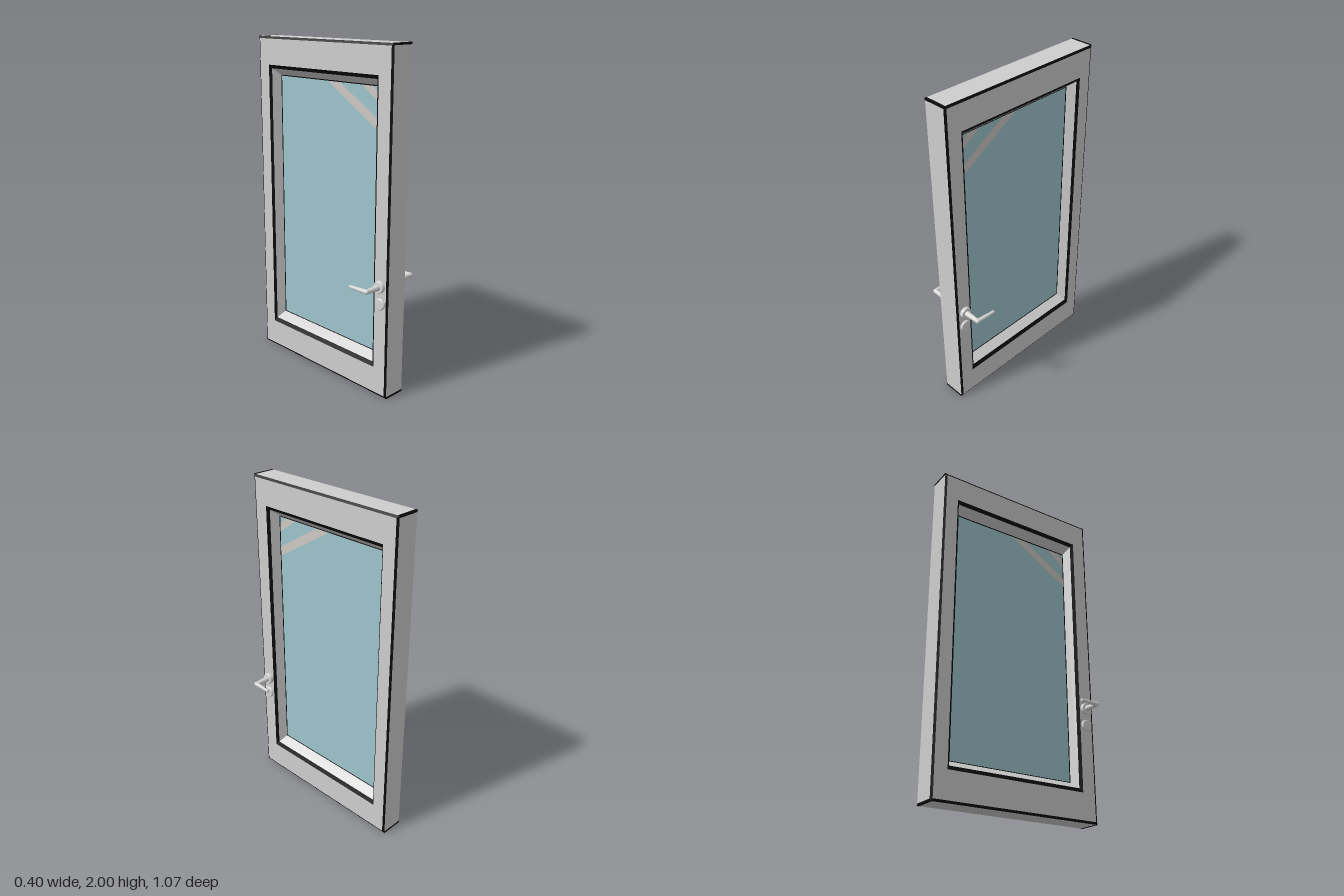
import * as THREE from 'three';

const mat = (name, color) => {
  const m = new THREE.MeshStandardMaterial({ color });
  m.name = name;
  return m;
};

export function createModel() {
  const root = new THREE.Group();
  root.name = 'glazedDoor';
  const frameMat = mat('frame grey', 0xcfcecf);
  const edgeMat = mat('black edging', 0x0b0b0b);
  const glassMat = mat('pale glass', 0x9fc5cd);
  const glintMat = mat('glass glint', 0xd0c9c6);
  const metalMat = mat('handle metal', 0xd6d5d4);

  const add = (parent, name, geometry, material) => {
    const mesh = new THREE.Mesh(geometry, material);
    mesh.name = name;
    parent.add(mesh);
    return mesh;
  };

  // Rectangular loop at depth x: corners run anticlockwise seen from +x
  const loop = (x, zMax, zMin, yMin, yMax) => [
    [x, yMin, zMax], [x, yMin, zMin], [x, yMax, zMin], [x, yMax, zMax],
  ];

  // Four flat quads joining two loops; flip reverses the facing
  const band = (a, b, flip) => {
    const p = [];
    for (let i = 0; i < 4; i++) {
      const j = (i + 1) % 4;
      const q = [a[i], a[j], b[j], b[i]];
      if (flip) q.reverse();
      for (const k of [0, 1, 2, 0, 2, 3]) p.push(...q[k]);
    }
    const g = new THREE.BufferGeometry();
    g.setAttribute('position', new THREE.Float32BufferAttribute(p, 3));
    g.computeVertexNormals();
    return g;
  };

  // Outer walls of the frame
  const W = 0.534, B = 0.001, T = 1.999;
  add(root, 'outerWalls', band(loop(-0.067, W, -W, B, T), loop(0.067, W, -W, B, T)), frameMat);

  // Black edging along the four short corners
  for (const z of [-1, 1]) {
    for (const y of [0.006, 1.994]) {
      const bar = add(root, 'cornerEdging', new THREE.BoxGeometry(0.136, 0.012, 0.012), edgeMat);
      bar.position.set(0, y, z * 0.529);
    }
  }

  for (const s of [1, -1]) {
    const side = new THREE.Group();
    side.name = s > 0 ? 'leftFace' : 'rightFace';
    root.add(side);

    // Stepped section from the outer wall inwards to the pane
    const section = [
      loop(s * 0.067, W, -W, B, T),
      loop(s * 0.074, 0.521, -0.521, 0.014, 1.986),
      loop(s * 0.074, 0.437, -0.444, 0.172, 1.834),
      loop(s * 0.062, 0.419, -0.430, 0.196, 1.813),
      loop(s * 0.012, 0.396, -0.405, 0.234, 1.774),
      loop(s * 0.010, 0.391, -0.400, 0.239, 1.768),
    ];
    const names = ['outerEdging', 'frameFace', 'openingEdging', 'reveal', 'glassSeal'];
    names.forEach((name, i) => add(side, name, band(section[i], section[i + 1], s < 0),
      i % 2 ? frameMat : edgeMat));

    // Pane
    const pane = add(side, 'glassPane', new THREE.PlaneGeometry(0.791, 1.529), glassMat);
    pane.rotation.y = s * Math.PI / 2;
    pane.position.set(s * 0.010, 1.0035, -0.0045);

    // Slanted glints in the upper front corner, given as [z, y]
    const glints = [
      [[0.39, 1.53], [0.39, 1.587], [0.095, 1.767], [0.0, 1.767]],
      [[0.39, 1.68], [0.39, 1.727], [0.345, 1.767], [0.265, 1.767]],
    ];
    for (const pts of glints) {
      const shape = new THREE.Shape(pts.map(([z, y]) => new THREE.Vector2(-s * z, y)));
      const glint = add(side, 'glint', new THREE.ShapeGeometry(shape), glintMat);
      glint.rotation.y = s * Math.PI / 2;
      glint.position.x = s * 0.012;
    }

    // Lever handle, turned half round for the other face
    const handle = new THREE.Group();
    handle.name = 'leverHandle';
    handle.position.set(0, 0.68, 0.477);
    handle.rotation.z = s > 0 ? 0 : Math.PI;
    side.add(handle);

    const disc = (depth) => new THREE.LatheGeometry([
      [0.035, 0.07], [0.035, depth - 0.005], [0.035, depth - 0.005],
      [0.031, depth], [0.031, depth], [0, depth + 0.001],
    ].map(([r, y]) => new THREE.Vector2(r, y)), 28);
    add(handle, 'rosette', disc(0.094), metalMat).rotation.z = -Math.PI / 2;

    const stem = add(handle, 'stem', new THREE.CylinderGeometry(0.013, 0.018, 0.098, 18), metalMat);
    stem.rotation.z = -Math.PI / 2;
    stem.position.x = 0.134;
    const elbow = add(handle, 'elbow', new THREE.SphereGeometry(0.0145, 18, 12), metalMat);
    elbow.position.x = 0.184;

    const from = new THREE.Vector3(0.184, 0, 0);
    const to = new THREE.Vector3(0.191, 0, -0.121);
    const dir = to.clone().sub(from);
    const lever = add(handle, 'lever',
      new THREE.CylinderGeometry(0.0085, 0.0135, dir.length(), 18), metalMat);
    lever.position.copy(from).add(to).multiplyScalar(0.5);
    lever.quaternion.setFromUnitVectors(new THREE.Vector3(0, 1, 0), dir.normalize());

    // Lock cover below the handle
    const lock = add(side, 'lockCover', disc(0.086), metalMat);
    lock.rotation.z = -s * Math.PI / 2;
    lock.position.set(0, 0.577, 0.48);
  }
  return root;
}
